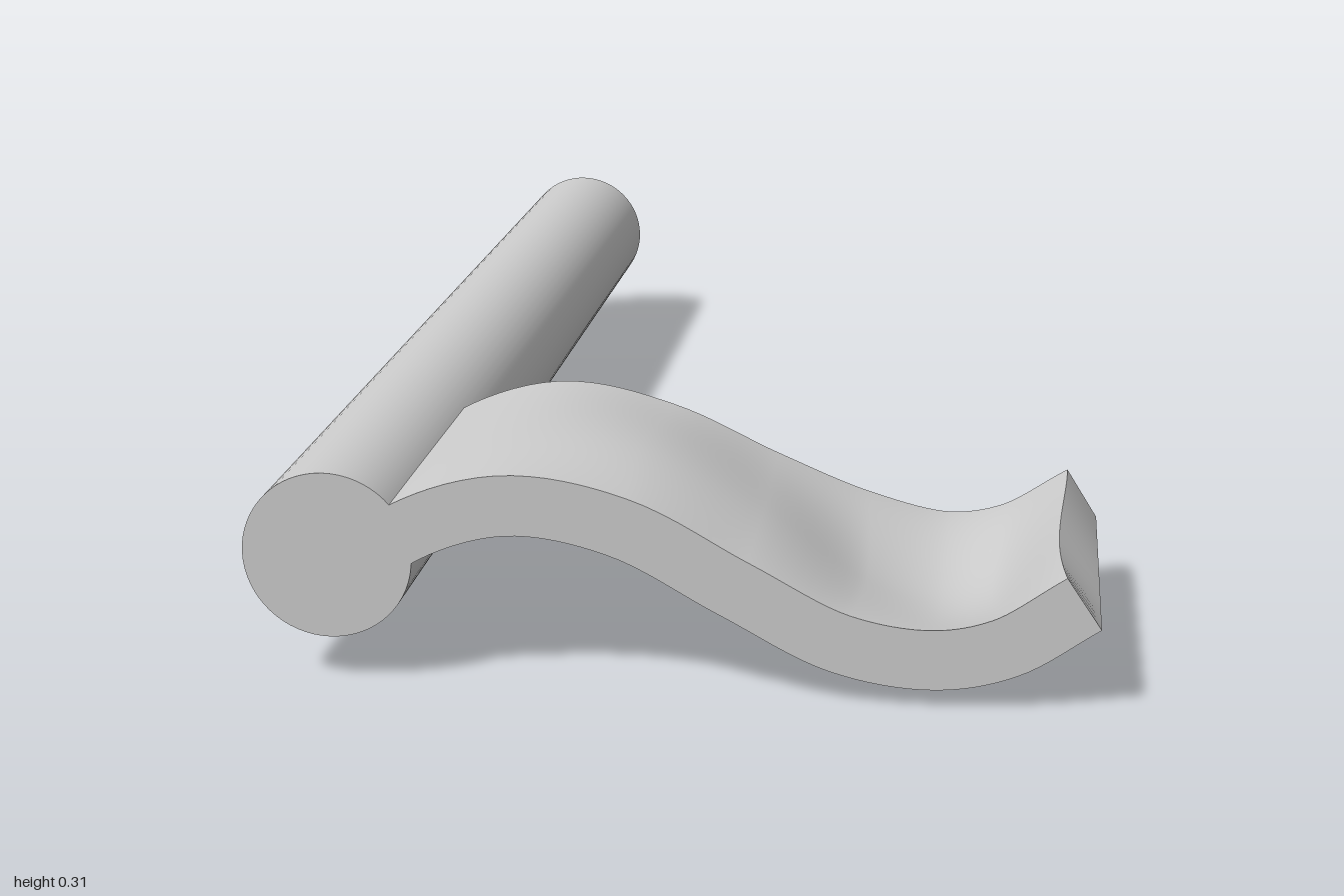
import * as THREE from 'three';
import { ParametricGeometry } from 'three/addons/geometries/ParametricGeometry.js';
import { mergeGeometries } from 'three/addons/utils/BufferGeometryUtils.js';

const THICKNESS = 0.085, Z_BACK = 0.54, Z_MID = 0.83, Z_FRONT = 1;

// Underside profiles of the wavy blade, sharing the same x stations
const xs = [-0.42, -0.35, -0.22, -0.08, 0.07, 0.22, 0.36, 0.47, 0.578];
const profile = ys => new THREE.CatmullRomCurve3(xs.map((x, i) => new THREE.Vector3(x, ys[i], 0)));
const front = profile([0.11, 0.178, 0.224, 0.203, 0.125, 0.05, 0.03, 0.055, 0.125]);
const middle = profile([0.11, 0.178, 0.228, 0.222, 0.147, 0.043, 0.004, 0.03, 0.125]);
const back = profile([0.11, 0.178, 0.224, 0.198, 0.13, 0.07, 0.04, 0.06, 0.125]);

// Blend the profiles smoothly across the width
function underside(s, z) {
  if (z > Z_MID) {
    const k = 1 - Math.cos((Math.PI / 2) * (z - Z_MID) / (Z_FRONT - Z_MID));
    return middle.getPoint(s).lerp(front.getPoint(s), k);
  }
  return back.getPoint(s).lerp(middle.getPoint(s), THREE.MathUtils.smoothstep(z, Z_BACK, Z_MID));
}

// Point in the blade: s along it, w across from back to front, h through its thickness
function bladePoint(s, w, h, target) {
  const z = THREE.MathUtils.lerp(Z_BACK, Z_FRONT, w);
  const p = underside(s, z);
  const t = underside(Math.min(1, s + 0.01), z).sub(underside(Math.max(0, s - 0.01), z)).normalize();
  target.set(p.x - t.y * THICKNESS * h, p.y + t.x * THICKNESS * h, z);
}

function createBlade() {
  const face = (map, nu, nv) =>
    new ParametricGeometry((u, v, target) => bladePoint(...map(u, v), target), nu, nv);
  return mergeGeometries([
    face((u, v) => [u, 1 - v, 1], 64, 28), // top
    face((u, v) => [u, v, 0], 64, 28),     // underside
    face((u, v) => [u, 1, v], 64, 1),      // front edge
    face((u, v) => [u, 0, 1 - v], 64, 1),  // back edge
    face((u, v) => [1, v, u], 1, 28),      // free end
    face((u, v) => [0, 1 - v, u], 1, 28),  // root, inside the shaft
  ]);
}

export function createModel() {
  const group = new THREE.Group();
  const material = new THREE.MeshStandardMaterial({ color: 0xcccccc });

  // Long round shaft running front to back
  const shaft = new THREE.Mesh(new THREE.CylinderGeometry(0.117, 0.117, 2, 64), material);
  shaft.name = 'shaft';
  shaft.rotation.x = Math.PI / 2;
  shaft.position.set(-0.463, 0.187, 0);

  // Wavy blade growing from the front end of the shaft
  const blade = new THREE.Mesh(createBlade(), material);
  blade.name = 'blade';

  group.add(shaft, blade);
  return group;
}
